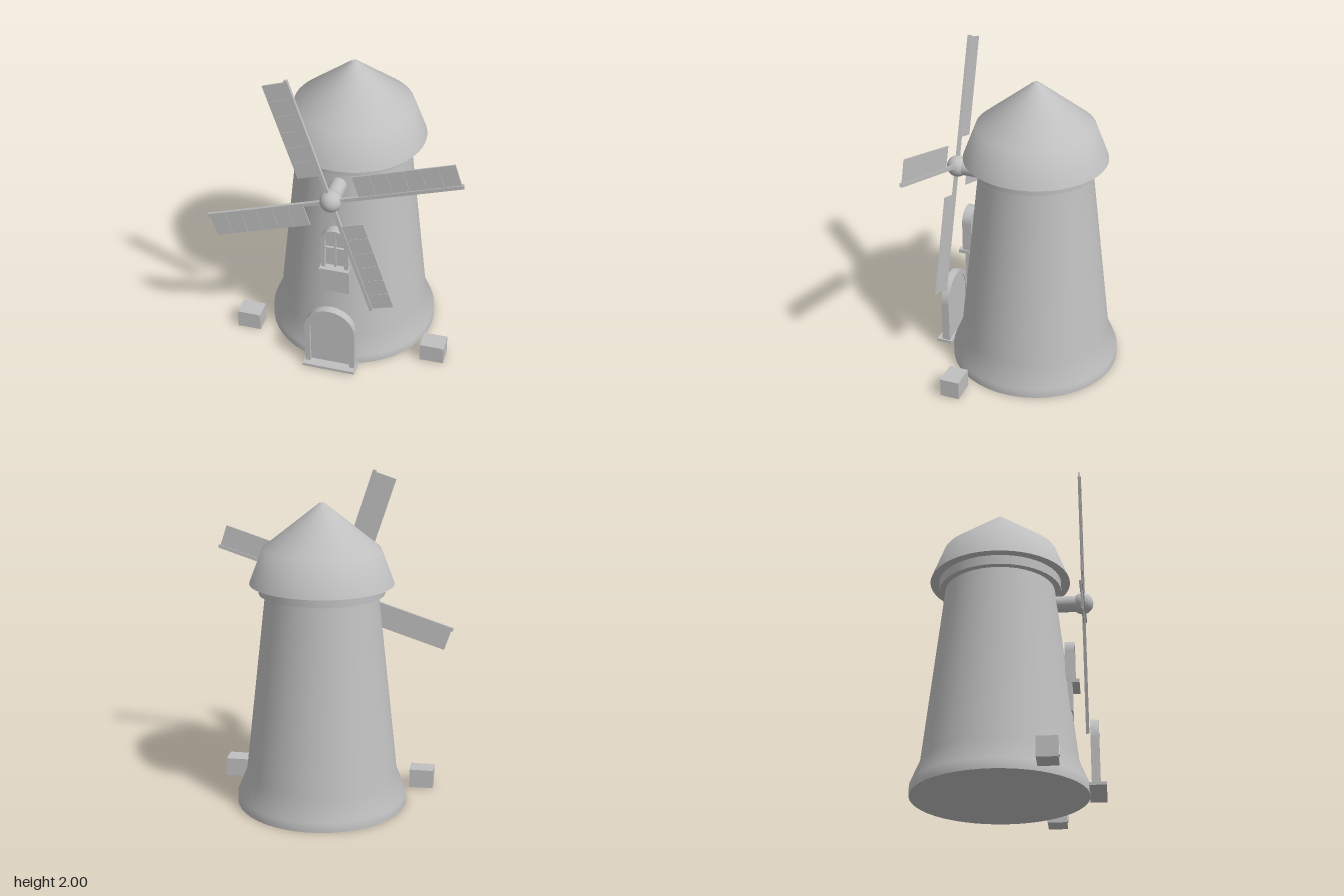
import * as THREE from 'three';

const stone = new THREE.MeshStandardMaterial({ color: 0xc0c0c0 });
stone.name = 'pale grey';
const SEG = 48;

function add(parent, name, geometry, x = 0, y = 0, z = 0) {
  const m = new THREE.Mesh(geometry, stone);
  m.name = name;
  m.position.set(x, y, z);
  parent.add(m);
  return m;
}

function box(parent, name, w, h, d, x, y, z) {
  return add(parent, name, new THREE.BoxGeometry(w, h, d), x, y, z);
}

function lathe(points) {
  return new THREE.LatheGeometry(points.map(([r, y]) => new THREE.Vector2(r, y)), SEG);
}

// Flat round cap, facing up or down
function disc(parent, name, r, y, up) {
  const m = add(parent, name, new THREE.CircleGeometry(r, SEG), 0, y, 0);
  m.rotation.x = up ? -Math.PI / 2 : Math.PI / 2;
}

// Half ring from the spring line upwards
function archRing(outer, inner, depth) {
  const s = new THREE.Shape();
  s.absarc(0, 0, outer, 0, Math.PI, false);
  s.absarc(0, 0, inner, Math.PI, 0, true);
  return new THREE.ExtrudeGeometry(s, { depth, bevelEnabled: false, curveSegments: 20 });
}

// Round-topped panel from y = bottom to the arch above y = spring
function archPanel(r, bottom, spring, depth) {
  const s = new THREE.Shape();
  s.moveTo(-r, bottom);
  s.lineTo(r, bottom);
  s.absarc(0, spring, r, 0, Math.PI, false);
  s.lineTo(-r, bottom);
  return new THREE.ExtrudeGeometry(s, { depth, bevelEnabled: false, curveSegments: 20 });
}

// Arched surround: ring, two jambs and a panel set back inside
function archedOpening(parent, { outer, inner, bottom, spring, back, depth, panelZ, panelDepth }) {
  add(parent, 'arch', archRing(outer, inner, depth), 0, spring, back);
  const w = outer - inner;
  for (const s of [-1, 1]) {
    box(parent, 'jamb', w, spring - bottom, depth, s * (inner + w / 2), (spring + bottom) / 2, back + depth / 2);
  }
  add(parent, 'panel', archPanel(inner, bottom, spring, panelDepth), 0, 0, panelZ);
}

function group(parent, name) {
  const g = new THREE.Group();
  g.name = name;
  parent.add(g);
  return g;
}

export function createModel() {
  const model = new THREE.Group();
  model.name = 'windmill';

  // Tower with flared foot, collar and roof, set slightly back
  const tower = group(model, 'tower');
  tower.position.z = -0.05;
  add(tower, 'towerWall', lathe([[0.525, 0], [0.525, 0.06], [0.467, 0.2], [0.34, 1.34]]));
  disc(tower, 'towerBase', 0.525, 0, false);
  add(tower, 'collar', new THREE.CylinderGeometry(0.38, 0.38, 0.06, SEG), 0, 1.36, 0);
  add(tower, 'roof', lathe([[0.435, 1.39], [0.355, 1.6], [0.016, 1.87]]));
  disc(tower, 'roofUnderside', 0.435, 1.39, false);
  disc(tower, 'roofTip', 0.016, 1.87, true);

  // Door with arch and step
  const door = group(model, 'door');
  archedOpening(door, { outer: 0.157, inner: 0.125, bottom: 0.03, spring: 0.3, back: 0.485, depth: 0.05, panelZ: 0.49, panelDepth: 0.02 });
  box(door, 'doorstep', 0.33, 0.018, 0.1, 0, 0.02, 0.52);

  // Window with sill, glazing bars and apron panel
  const win = group(model, 'window');
  archedOpening(win, { outer: 0.084, inner: 0.06, bottom: 0.695, spring: 0.886, back: 0.345, depth: 0.06, panelZ: 0.345, panelDepth: 0.03 });
  box(win, 'sill', 0.182, 0.022, 0.07, 0, 0.684, 0.395);
  box(win, 'uprightBar', 0.01, 0.24, 0.015, 0, 0.815, 0.383);
  box(win, 'crossBar', 0.12, 0.01, 0.015, 0, 0.83, 0.383);
  box(win, 'apron', 0.174, 0.178, 0.03, 0, 0.584, 0.372);

  // Axle and hub
  const hubY = 1.235;
  const axle = add(model, 'axle', new THREE.CylinderGeometry(0.05, 0.05, 0.2, 24), 0, hubY, 0.35);
  axle.rotation.x = Math.PI / 2;
  add(model, 'hub', new THREE.SphereGeometry(0.066, 32, 20), 0, hubY, 0.46);

  // Four sails, each a spar with a thin ribbed panel on one side
  const rotor = group(model, 'rotor');
  rotor.position.set(0, hubY, 0.465);
  for (let i = 0; i < 4; i++) {
    const sail = group(rotor, 'sail');
    sail.rotation.z = Math.PI / 10 + i * Math.PI / 2;
    box(sail, 'spar', 0.022, 0.8, 0.02, 0, 0.4, 0);
    box(sail, 'sailPanel', 0.136, 0.612, 0.008, -0.077, 0.484, 0);
    for (let r = 1; r < 6; r++) {
      box(sail, 'rib', 0.134, 0.006, 0.003, -0.077, 0.178 + r * 0.102, 0.005);
    }
  }

  // Crates either side, with a diagonal brace on the front
  for (const s of [-1, 1]) {
    const crate = group(model, 'crate');
    crate.position.set(s * 0.6, 0.064, 0.26);
    box(crate, 'crateBody', 0.15, 0.118, 0.12, 0, 0, 0);
    const brace = box(crate, 'brace', 0.176, 0.012, 0.009, 0, 0, 0.0635);
    brace.rotation.z = Math.atan2(0.108, 0.14);
  }

  return model;
}
